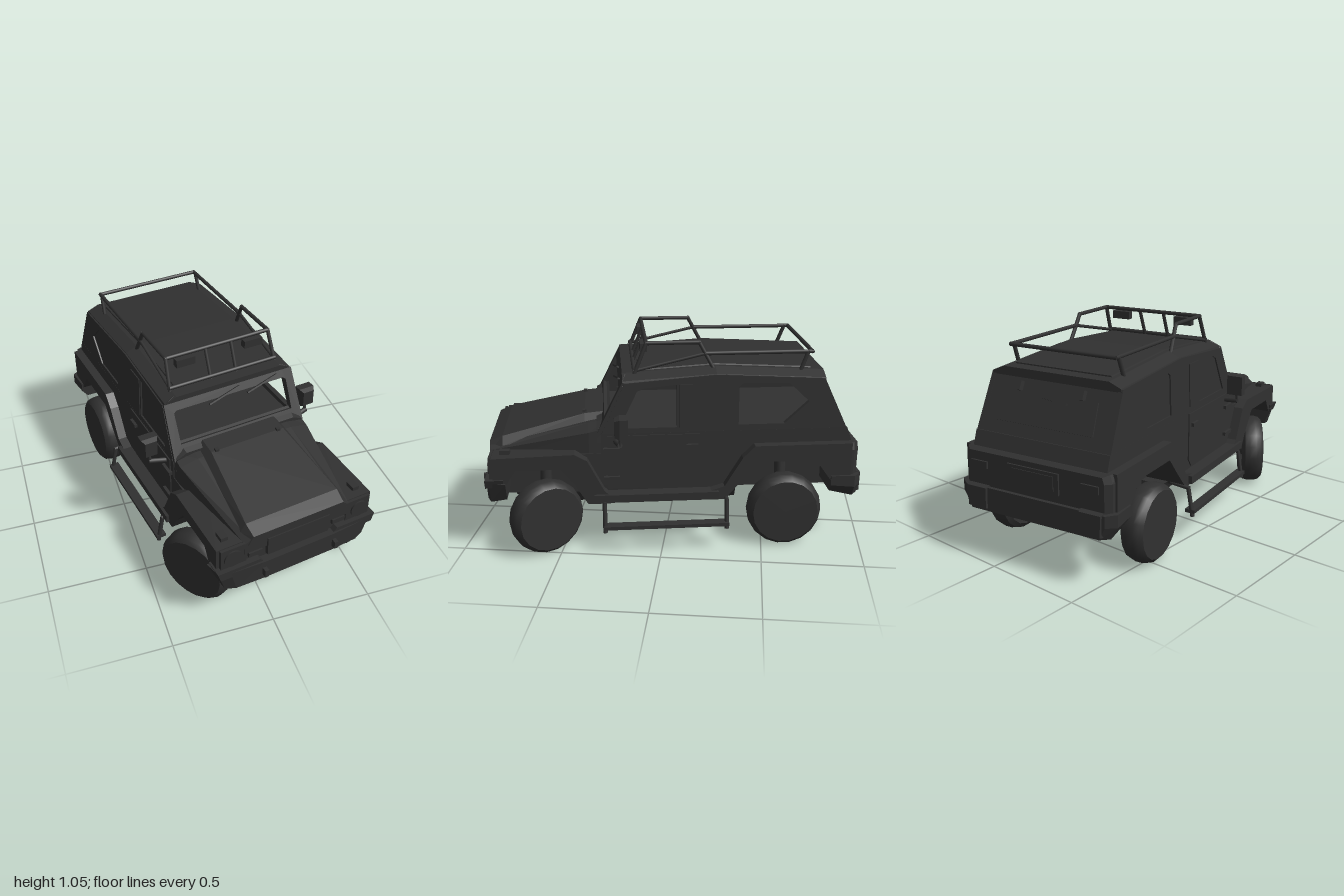
import * as THREE from 'three';
import { toCreasedNormals } from 'three/addons/utils/BufferGeometryUtils.js';

const paint = new THREE.MeshStandardMaterial({ color: 0x303030 });
paint.name = 'charcoal';
const SIDES = [1, -1];

export function createModel() {
  const root = new THREE.Group();
  root.name = 'offRoadTruck';
  const truck = new THREE.Group();
  truck.name = 'truck';
  truck.rotation.y = 0.1745;
  truck.position.x = -0.025;
  root.add(truck);

  const add = (name, geo, parent = truck) => {
    const m = new THREE.Mesh(geo, paint);
    m.name = name;
    parent.add(m);
    return m;
  };
  const box = (name, w, h, d, x, y, z) => {
    const m = add(name, new THREE.BoxGeometry(w, h, d));
    m.position.set(x, y, z);
    return m;
  };
  const rod = (name, a, b, r = 0.01) => {
    const p = new THREE.Vector3(...a), q = new THREE.Vector3(...b);
    const dir = q.clone().sub(p);
    const m = add(name, new THREE.CylinderGeometry(r, r, dir.length() + r, 8));
    m.position.copy(p).add(q).multiplyScalar(0.5);
    m.quaternion.setFromUnitVectors(new THREE.Vector3(0, 1, 0), dir.normalize());
    return m;
  };
  const shape = (pts, holes = []) => {
    const s = new THREE.Shape(pts.map(p => new THREE.Vector2(...p)));
    holes.forEach(h => s.holes.push(new THREE.Path(h.map(p => new THREE.Vector2(...p)))));
    return s;
  };
  const extrude = (s, depth) => new THREE.ExtrudeGeometry(s, { depth, bevelEnabled: false });
  // Side outline in (z, y), spanning x from x0 to x0 + d
  const sideSlab = (s, x0, d) => extrude(s, d).rotateY(-Math.PI / 2).translate(x0 + d, 0, 0);
  const sidePair = (name, s, x0, d, rule) => SIDES.forEach(k => {
    const g = sideSlab(s, k > 0 ? x0 : -x0 - d, d);
    if (rule) rule(g);
    add(name, g);
  });
  // Mirrored cross-sections [z, half profile from top to bottom], front to back
  const loft = (name, sections) => {
    const loops = sections.map(([z, half]) => [
      ...half.map(([x, y]) => [x, y, z]),
      ...half.slice().reverse().map(([x, y]) => [-x, y, z])]);
    const v = [], n = loops[0].length, last = loops[loops.length - 1];
    for (let s = 0; s < loops.length - 1; s++) for (let i = 0; i < n; i++) {
      const j = (i + 1) % n, A = loops[s], B = loops[s + 1];
      v.push(...A[i], ...A[j], ...B[i], ...A[j], ...B[j], ...B[i]);
    }
    for (let i = 1; i < n - 1; i++) {
      v.push(...loops[0][0], ...loops[0][i + 1], ...loops[0][i]);
      v.push(...last[0], ...last[i], ...last[i + 1]);
    }
    const g = new THREE.BufferGeometry();
    g.setAttribute('position', new THREE.Float32BufferAttribute(v, 3));
    g.computeVertexNormals();
    return add(name, g);
  };
  // Cabin sides lean slightly inwards towards the roof
  const lean = g => {
    const p = g.attributes.position;
    for (let i = 0; i < p.count; i++) p.setX(i, p.getX(i) * (1 - (p.getY(i) - 0.6) * 0.1));
    g.computeVertexNormals();
  };

  // Lower body with wheel arches
  const frontArch = [[0.44, 0.26], [0.50, 0.36], [0.57, 0.45], [0.79, 0.45], [0.84, 0.37]];
  const rearArch = [[-0.79, 0.33], [-0.70, 0.455], [-0.41, 0.455], [-0.33, 0.36], [-0.24, 0.26]];
  add('bodyTub', sideSlab(shape([[0.37, 0.61], [-0.86, 0.61], [-0.885, 0.54], [-0.885, 0.33],
    ...rearArch, ...frontArch, [0.90, 0.38], [0.90, 0.49], [0.37, 0.51]]), -0.364, 0.728));
  const hull = (z, drop) => [z, [[0.32, 0.28], [0.29, 0.23 - drop * 0.3], [0.17, 0.21 - drop], [0.14, 0.20 - drop]]];
  loft('underHull', [hull(0.45, 0.02), hull(0.36, 0.045), hull(-0.22, 0.04), hull(-0.31, 0.015)]);
  loft('frontSkidPlate', [[0.82, [[0.17, 0.28], [0.16, 0.22], [0.13, 0.20]]],
    [0.74, [[0.17, 0.28], [0.17, 0.22], [0.135, 0.145]]],
    [0.46, [[0.17, 0.28], [0.17, 0.22], [0.135, 0.155]]]]);
  box('chassis', 0.40, 0.22, 1.70, 0, 0.35, 0.02);
  SIDES.forEach(k => box('sill', 0.07, 0.04, 0.62, k * 0.395, 0.29, 0.10));

  // Fender flares; the front pair reach in to the bonnet sides
  sidePair('frontFlare', shape([...frontArch, [0.90, 0.38], [0.90, 0.515], [0.50, 0.525],
    [0.44, 0.49], [0.36, 0.33], [0.33, 0.30], [0.33, 0.26]]), 0.26, 0.155);
  sidePair('rearFlare', shape([...rearArch, [-0.14, 0.26], [-0.14, 0.30], [-0.24, 0.33], [-0.33, 0.48],
    [-0.39, 0.54], [-0.88, 0.54], [-0.88, 0.33]]), 0.355, 0.055);

  // Bonnet, narrowing to the front, with raised centre panel
  loft('bonnet', [[0.92, [[0.25, 0.53], [0.28, 0.51], [0.28, 0.45]]],
    [0.43, [[0.26, 0.635], [0.355, 0.615], [0.362, 0.45]]],
    [0.34, [[0.26, 0.65], [0.355, 0.635], [0.364, 0.45]]]]);
  loft('bonnetPanel', [[0.925, [[0.24, 0.545], [0.265, 0.50]]],
    [0.86, [[0.245, 0.572], [0.275, 0.53]]],
    [0.45, [[0.20, 0.665], [0.26, 0.60]]], [0.35, [[0.20, 0.675], [0.27, 0.60]]]]);
  loft('cowl', [[0.39, [[0.30, 0.655], [0.35, 0.63], [0.36, 0.56]]],
    [0.32, [[0.31, 0.68], [0.355, 0.65], [0.364, 0.56]]]]);
  SIDES.forEach(k => box('bonnetCatch', 0.02, 0.012, 0.02, k * 0.17, 0.67, 0.45));

  // Nose, grille and lights
  box('nose', 0.80, 0.13, 0.05, 0, 0.445, 0.885);
  box('grille', 0.33, 0.10, 0.02, 0, 0.45, 0.92);
  SIDES.forEach(k => {
    const lamp = add('headlight', new THREE.CylinderGeometry(0.045, 0.045, 0.03, 20).rotateX(Math.PI / 2));
    lamp.position.set(k * 0.34, 0.455, 0.91);
    box('headlightSurround', 0.13, 0.11, 0.012, k * 0.335, 0.46, 0.912);
    box('indicator', 0.07, 0.025, 0.02, k * 0.225, 0.435, 0.915);
    box('markerLamp', 0.035, 0.02, 0.05, k * 0.355, 0.53, 0.84);
    box('towHook', 0.02, 0.04, 0.05, k * 0.19, 0.33, 0.95);
  });

  // Front bumper: lower centre section between two taller ends
  loft('frontBumper', [[0.95, [[0.19, 0.385], [0.18, 0.28]]],
    [0.94, [[0.36, 0.385], [0.33, 0.275]]], [0.92, [[0.415, 0.385], [0.38, 0.275]]],
    [0.84, [[0.43, 0.385], [0.39, 0.29]]]]);
  SIDES.forEach(k => {
    const end = add('bumperEndCap', extrude(shape([[0.17, 0.36], [0.41, 0.36], [0.425, 0.405], [0.21, 0.405]]
      .map(([x, y]) => [k * x, y])), 0.09));
    end.position.z = 0.85;
  });

  // Tail and rear bumper
  loft('tailPanel', [[-0.86, [[0.395, 0.54], [0.405, 0.50], [0.405, 0.36]]],
    [-0.895, [[0.385, 0.54], [0.398, 0.50], [0.398, 0.36]]], [-0.92, [[0.36, 0.53], [0.37, 0.50], [0.37, 0.36]]]]);
  box('platePanel', 0.28, 0.10, 0.012, 0, 0.455, -0.923);
  box('plateInset', 0.23, 0.07, 0.008, 0, 0.455, -0.929);
  SIDES.forEach(k => {
    box('tailLight', 0.09, 0.035, 0.015, k * 0.30, 0.47, -0.922);
    loft('bumperPad', [[-0.92, [[0.06, 0.372], [0.06, 0.26]]], [-0.945, [[0.055, 0.365], [0.05, 0.265]]]])
      .position.x = k * 0.31;
  });
  loft('rearBumper', [[-0.78, [[0.42, 0.37], [0.42, 0.32], [0.39, 0.28]]],
    [-0.90, [[0.425, 0.37], [0.425, 0.31], [0.39, 0.25]]],
    [-0.935, [[0.38, 0.365], [0.38, 0.31], [0.35, 0.25]]]]);

  // Cabin walls with window openings
  const frontWindow = [[0.28, 0.635], [0.19, 0.82], [0.155, 0.835], [-0.005, 0.85], [-0.005, 0.635]];
  const rearWindow = [[-0.31, 0.64], [-0.31, 0.835], [-0.33, 0.85], [-0.56, 0.845], [-0.66, 0.75], [-0.54, 0.64]];
  sidePair('cabinSide', shape([[0.37, 0.60], [0.25, 0.86], [-0.20, 0.895], [-0.735, 0.865], [-0.86, 0.60]],
    [frontWindow, rearWindow]), 0.339, 0.025, lean);
  sidePair('doorPillarPanel', shape([[-0.015, 0.635], [-0.015, 0.85], [-0.12, 0.85], [-0.12, 0.635]]), 0.362, 0.007, lean);
  // Dark panes on the truck's right only; the left windows are open
  [frontWindow, rearWindow].forEach(w => {
    const pane = sideSlab(shape(w), -0.356, 0.008);
    lean(pane);
    add('windowPane', pane);
  });
  const doorOutline = shape([[0.34, 0.32], [0.34, 0.60], [-0.13, 0.60], [-0.13, 0.36], [-0.10, 0.32]]);
  sidePair('door', doorOutline, 0.362, 0.008);
  SIDES.forEach(k => {
    [0.53, 0.38].forEach(y => box('doorHinge', 0.02, 0.018, 0.08, k * 0.375, y, 0.32));
    box('doorHandle', 0.02, 0.018, 0.06, k * 0.375, 0.54, -0.08);
  });

  // Roof
  const roofSection = (z, y) => [z, [[0.285, y], [0.345, y - 0.025], [0.354, y - 0.05]]];
  loft('roof', [roofSection(0.26, 0.895), roofSection(-0.20, 0.922), roofSection(-0.74, 0.893)]);
  loft('roofPanel', [[0.18, [[0.26, 0.905], [0.27, 0.885]]], [-0.20, [[0.26, 0.928], [0.27, 0.905]]],
    [-0.68, [[0.26, 0.902], [0.27, 0.88]]]]);

  // Windscreen frame and wipers
  const screen = new THREE.Group();
  screen.name = 'windscreen';
  screen.position.set(0, 0.64, 0.365);
  screen.rotation.x = -0.464;
  truck.add(screen);
  add('windscreenFrame', extrude(shape([[-0.362, -0.03], [0.362, -0.03], [0.352, 0.25], [0.295, 0.28], [-0.295, 0.28], [-0.352, 0.25]],
    [[[-0.31, 0.045], [-0.31, 0.20], [-0.295, 0.21], [0.295, 0.21], [0.31, 0.20], [0.31, 0.045]]]), 0.02).translate(0, 0, -0.012), screen);
  [-0.04, 0.17].forEach(x => {
    const wiper = add('wiper', new THREE.BoxGeometry(0.18, 0.008, 0.012), screen);
    wiper.position.set(x, 0.215, 0.018);
    wiper.rotation.z = 0.25;
  });

  // Rear wall, hatch and wiper
  const tail = new THREE.Group();
  tail.name = 'tailgate';
  tail.position.set(0, 0.60, -0.86);
  tail.rotation.x = 0.445;
  truck.add(tail);
  add('rearWall', extrude(shape([[-0.363, 0], [0.363, 0], [0.352, 0.28], [0.29, 0.31], [-0.29, 0.31], [-0.352, 0.28]]), 0.02), tail);
  add('rearWindow', extrude(shape([[-0.26, 0.07], [0.26, 0.07], [0.25, 0.22], [-0.25, 0.22]]), 0.008).translate(0, 0, -0.007), tail);
  const rearWiper = add('rearWiper', new THREE.BoxGeometry(0.2, 0.01, 0.015), tail);
  rearWiper.position.set(0, 0.2, -0.014);
  rearWiper.rotation.z = 0.12;
  SIDES.forEach(k => {
    add('hatchHinge', new THREE.BoxGeometry(0.02, 0.045, 0.03), tail).position.set(k * 0.17, 0.24, -0.012);
  });

  // Mirrors
  SIDES.forEach(k => {
    rod('mirrorArm', [k * 0.36, 0.57, 0.30], [k * 0.445, 0.58, 0.28], 0.013);
    rod('mirrorStem', [k * 0.445, 0.58, 0.28], [k * 0.445, 0.64, 0.27], 0.008);
    loft('mirror', [[0.035, [[0.03, 0.04], [0.03, -0.04]]], [0.01, [[0.042, 0.05], [0.042, -0.05]]],
      [-0.03, [[0.042, 0.05], [0.042, -0.05]]]]).position.set(k * 0.445, 0.67, 0.27);
  });

  // Roof rack
  SIDES.forEach(k => {
    const path = [[k * 0.29, 0.89, 0.20], [k * 0.28, 1.04, 0.14], [k * 0.28, 1.04, -0.12], [k * 0.29, 0.91, -0.19]];
    path.slice(1).forEach((p, i) => rod('rackHoop', path[i], p));
    rod('rackLowerRail', [k * 0.288, 0.905, 0.20], [k * 0.285, 0.985, -0.15], 0.008);
    rod('rackSideRail', [k * 0.285, 0.985, -0.15], [k * 0.285, 0.985, -0.68]);
    rod('rackRearPost', [k * 0.285, 0.985, -0.66], [k * 0.29, 0.88, -0.62]);
    rod('rackFrontPost', [k * 0.07, 0.895, 0.20], [k * 0.07, 1.04, 0.14], 0.009);
    box('rackLamp', 0.10, 0.04, 0.035, k * 0.185, 1.005, 0.15);
  });
  [[1.04, 0.14, 0.28], [0.91, 0.20, 0.288], [0.985, -0.68, 0.285]].forEach(([y, z, x]) =>
    rod('rackCrossBar', [-x, y, z], [x, y, z]));

  // Side steps
  SIDES.forEach(k => {
    box('sideStep', 0.05, 0.018, 0.63, k * 0.445, 0.147, 0.055);
    [0.36, -0.25].forEach(z => {
      rod('stepLeg', [k * 0.455, 0.125, z], [k * 0.43, 0.265, z], 0.011);
      rod('stepBracket', [k * 0.43, 0.265, z], [k * 0.34, 0.275, z], 0.011);
    });
  });

  // Wheels, the front pair steered
  const tyre = toCreasedNormals(new THREE.LatheGeometry([[0, -0.03], [0.09, -0.03], [0.10, -0.05], [0.16, -0.06],
    [0.183, -0.042], [0.19, -0.018], [0.19, 0.018], [0.183, 0.042], [0.165, 0.06], [0, 0.06]]
    .map(p => new THREE.Vector2(...p)), 18), 0.6);
  [['frontWheel', 0.652, 0.5], ['rearWheel', -0.55, 0]].forEach(([name, z, steer]) => {
    SIDES.forEach(k => {
      const wheel = add(name, tyre.clone().rotateZ(-k * Math.PI / 2));
      wheel.position.set(k * 0.38, 0.19, z);
      wheel.rotation.y = steer;
      // Suspension arms and springs
      rod('axleHub', [k * 0.37, 0.19, z], [k * 0.32, 0.19, z], 0.04);
      [0.05, -0.05].forEach(dz => rod('lowerArm', [k * 0.33, 0.16, z], [k * 0.13, 0.23, z + dz], 0.018));
      rod('spring', [k * 0.28, 0.19, z], [k * 0.25, 0.46, z], 0.03);
    });
    rod('driveShaft', [-0.34, 0.19, z], [0.34, 0.19, z], 0.018);
    box('differential', 0.16, 0.09, 0.14, 0, 0.23, z);
  });

  return root;
}
